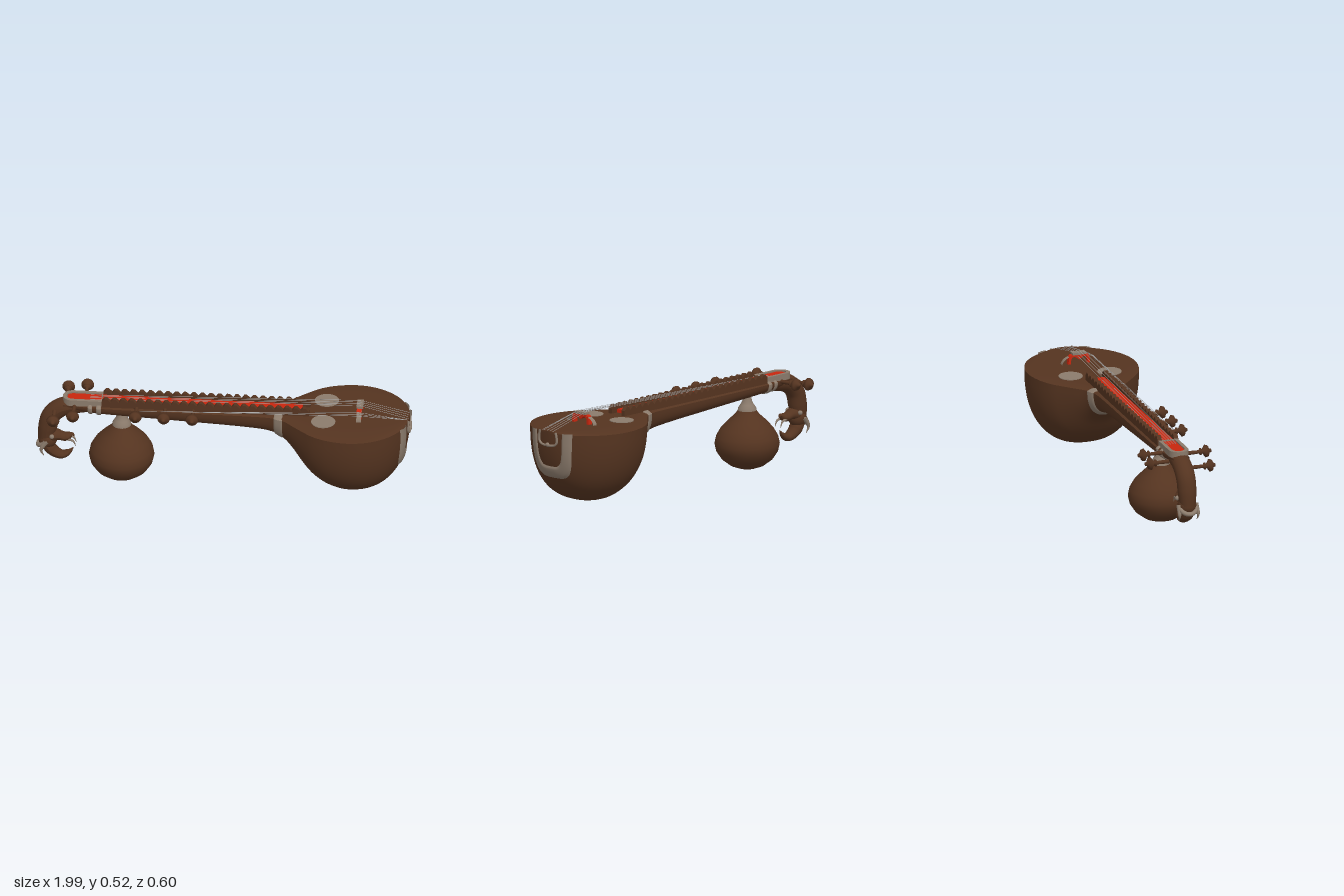
import * as THREE from 'three';

const paint = (name, color) => {
  const m = new THREE.MeshStandardMaterial({ color, side: THREE.DoubleSide });
  m.name = name;
  return m;
};
const V = (x, y, z = 0) => new THREE.Vector3(x, y, z);

// Smooth surface from a rule fn(u, v) -> [x, y, z]
function grid(nu, nv, fn) {
  const pos = [], idx = [];
  for (let i = 0; i <= nu; i++) for (let j = 0; j <= nv; j++) pos.push(...fn(i / nu, j / nv));
  for (let i = 0; i < nu; i++) for (let j = 0; j < nv; j++) {
    const a = i * (nv + 1) + j, b = a + nv + 1;
    idx.push(a, b, a + 1, b, b + 1, a + 1);
  }
  const g = new THREE.BufferGeometry();
  g.setAttribute('position', new THREE.Float32BufferAttribute(pos, 3));
  g.setIndex(idx);
  g.computeVertexNormals();
  return g;
}

// Neck and bowl outline: x, half width, underside height
const RIM = 0.447, P = 2.4, START = -0.84, MID = 0.68, LEN = 0.308;
const outline = [
  [-0.84, 0.045, 0.41], [-0.66, 0.065, 0.396], [-0.2, 0.07, 0.372], [0.17, 0.072, 0.35],
  [0.27, 0.08, 0.333], [0.33, 0.105, 0.3], [0.38, 0.15, 0.25], [0.435, 0.2, 0.176],
  [0.49, 0.245, 0.118], [0.57, 0.282, 0.068], [0.68, 0.3, 0.043],
];
function hermite(x, k) {
  const n = outline.length - 1;
  let i = 0;
  while (i < n - 1 && x > outline[i + 1][0]) i++;
  const slope = (j) => (j === 0 || j === n ? 0
    : (outline[j + 1][k] - outline[j - 1][k]) / (outline[j + 1][0] - outline[j - 1][0]));
  const [a, b] = [outline[i], outline[i + 1]], h = b[0] - a[0], t = (x - a[0]) / h;
  return a[k] * (1 + 2 * t) * (1 - t) ** 2 + slope(i) * h * t * (1 - t) ** 2
    + b[k] * t * t * (3 - 2 * t) + slope(i + 1) * h * t * t * (t - 1);
}
function size(x) {
  if (x <= MID) return [hermite(x, 1), RIM - hermite(x, 2)];
  const u = Math.min(1, (x - MID) / LEN);
  return [0.3 * Math.sqrt(1 - u * u), 0.404 * (1 - u ** P) ** (1 / P)];
}
const pow = (c, e) => Math.sign(c) * Math.abs(c) ** e;
function shell(x, v, grow = 0) {
  const [w, d] = size(x), a = Math.PI * v;
  return [x, RIM - (d + grow) * pow(Math.max(0, Math.sin(a)), 2 / P), (w + grow) * pow(Math.cos(a), 2 / P)];
}
const lid = (x, v, grow = 0) => {
  const s = 2 * v - 1;
  return [x, RIM + (0.01 + grow) * (1 - s ** 6), (size(x)[0] + grow) * s];
};
const station = (u) => (u < 0.7 ? START + (MID - START) * (u / 0.7)
  : MID + LEN * Math.sin((u - 0.7) / 0.3 * Math.PI / 2));
// x of the bowl's end surface at a given height and z
function bowlEnd(y, z) {
  let lo = MID, hi = MID + LEN;
  for (let i = 0; i < 24; i++) {
    const x = (lo + hi) / 2, [w, d] = size(x);
    if ((Math.abs(z) / w) ** P + (Math.max(0, RIM - y) / d) ** P < 1) lo = x; else hi = x;
  }
  return lo;
}

// Tube whose radius follows a list; zs squashes it sideways
function taperTube(points, radii, zs = 1) {
  const curve = new THREE.CatmullRomCurve3(points), n = 40, m = 16;
  const g = new THREE.TubeGeometry(curve, n, 1, m), p = g.attributes.position;
  for (let i = 0; i <= n; i++) {
    const c = curve.getPointAt(i / n), t = (i / n) * (radii.length - 1), k = Math.min(radii.length - 2, Math.floor(t));
    const r = THREE.MathUtils.lerp(radii[k], radii[k + 1], t - k);
    for (let j = 0; j <= m; j++) {
      const q = i * (m + 1) + j, v = new THREE.Vector3().fromBufferAttribute(p, q).sub(c).multiplyScalar(r);
      p.setXYZ(q, c.x + v.x, c.y + v.y, c.z + v.z * zs);
    }
  }
  g.computeVertexNormals();
  return g;
}
const lathe = (pts, n = 32) => new THREE.LatheGeometry(pts.map(([r, y]) => new THREE.Vector2(r, y)), n);

export function createModel() {
  const wood = paint('brown wood', 0x553420), bone = paint('grey inlay', 0x8b7b6c);
  const red = paint('red lacquer', 0xc8260e), wire = paint('string metal', 0xa5a5a5);
  const model = new THREE.Group();
  const add = (name, geo, mat, x = 0, y = 0, z = 0) => {
    const m = new THREE.Mesh(geo, mat);
    m.name = name;
    m.position.set(x, y, z);
    model.add(m);
    return m;
  };
  const box = (name, mat, sx, sy, sz, x, y, z) => add(name, new THREE.BoxGeometry(sx, sy, sz), mat, x, y, z);

  // Neck and bowl
  add('body', grid(110, 40, (u, v) => shell(station(u), v)), wood);
  add('soundboard', grid(110, 16, (u, v) => lid(station(u), v)), wood);

  // Inlaid bands around the neck
  for (const [a, b] of [[-0.71, -0.685], [-0.665, -0.638], [0.275, 0.322]]) {
    const prof = (u) => 0.007 * Math.sin(Math.PI * Math.min(1, Math.max(0, u))) ** 0.3;
    add('band', grid(8, 32, (u, v) => shell(a + (b - a) * u, v, prof(u))), bone);
    add('bandTop', grid(8, 8, (u, v) => lid(a + (b - a) * u, v, prof(u))), bone);
  }

  // Sound rosettes
  for (const z of [-0.112, 0.106]) {
    add('rosette', new THREE.CylinderGeometry(0.064, 0.064, 0.006, 32), bone, 0.54, 0.457, z);
  }

  // Scalloped fret rails with the red channel between them
  const rail = new THREE.Shape(), teeth = 24, x0 = -0.635, x1 = 0.46, step = (x1 - x0) / teeth;
  rail.moveTo(x0, 0.44);
  rail.lineTo(x0, 0.485);
  for (let i = 0; i < teeth; i++) {
    const x = x0 + i * step;
    rail.lineTo(x + step * 0.3, 0.503);
    rail.lineTo(x + step * 0.6, 0.503);
    rail.lineTo(x + step, 0.485);
  }
  rail.lineTo(x1, 0.44);
  for (const z of [-0.058, 0.034]) {
    add('fretRail', new THREE.ExtrudeGeometry(rail, { depth: 0.024, bevelEnabled: false }), wood, 0, 0, z);
  }
  box('redChannel', red, 1.24, 0.03, 0.068, -0.2, 0.461, 0);

  // Peg box rim
  const ring = (hw, a, b, T) => {
    const s = new T();
    s.moveTo(b, -hw);
    s.lineTo(b, hw);
    s.lineTo(a + hw, hw);
    s.absarc(a + hw, 0, hw, Math.PI / 2, Math.PI * 1.5, false);
    s.lineTo(b, -hw);
    return s;
  };
  const rim = ring(0.053, -0.845, -0.635, THREE.Shape);
  rim.holes.push(ring(0.034, -0.825, -0.64, THREE.Path));
  add('pegBoxRim', new THREE.ExtrudeGeometry(rim, { depth: 0.035, bevelEnabled: false, curveSegments: 12 }), bone, 0, 0.483, 0)
    .rotation.x = Math.PI / 2;

  // Curved scroll and animal head
  add('scroll', taperTube([V(-0.68, 0.43), V(-0.77, 0.428), V(-0.85, 0.41), V(-0.905, 0.36), V(-0.925, 0.29), V(-0.935, 0.21)],
    [0.035, 0.045, 0.05, 0.051, 0.05, 0.042]), wood);
  const skull = add('skull', new THREE.SphereGeometry(0.05, 24, 16), wood, -0.925, 0.215, 0);
  skull.scale.set(1, 1.05, 1);
  add('upperJaw', taperTube([V(-0.94, 0.235), V(-0.88, 0.24), V(-0.83, 0.23), V(-0.795, 0.245), V(-0.785, 0.235)],
    [0.03, 0.035, 0.024, 0.022, 0.002], 1.3), wood);
  add('lowerJaw', taperTube([V(-0.94, 0.2), V(-0.9, 0.145), V(-0.85, 0.12), V(-0.81, 0.14), V(-0.79, 0.165)],
    [0.03, 0.032, 0.026, 0.018, 0.002], 1.3), wood);
  for (const s of [-1, 1]) {
    add('fang', taperTube([V(-0.83, 0.225, s * 0.018), V(-0.79, 0.215, s * 0.02), V(-0.775, 0.185, s * 0.02)],
      [0.008, 0.006, 0.001]), bone);
    add('eye', new THREE.SphereGeometry(0.013, 12, 8), bone, -0.9, 0.25, s * 0.045);
    add('horn', taperTube([V(-0.93, 0.22, s * 0.045), V(-0.955, 0.17, s * 0.052), V(-0.94, 0.135, s * 0.05)],
      [0.016, 0.01, 0.001]), bone);
  }
  const collar = add('headCollar', new THREE.TorusGeometry(0.043, 0.012, 10, 28), bone, -0.942, 0.205, 0);
  collar.rotation.set(Math.PI / 2, 0.65, 0);

  // Hanging gourd and its collar
  add('gourd', lathe([[0, 0.003], [0.045, 0.008], [0.09, 0.024], [0.135, 0.058], [0.163, 0.1], [0.172, 0.14],
    [0.164, 0.18], [0.14, 0.222], [0.1, 0.265], [0.064, 0.298], [0.045, 0.325]], 48), wood, -0.535, 0, -0.005);
  add('gourdCollar', lathe([[0.05, 0.315], [0.048, 0.332], [0.036, 0.35], [0.026, 0.368], [0.02, 0.4]]), bone, -0.535, 0, -0.005);

  // Tuning pegs: x, y, side, start z
  const peg = [[0.011, 0], [0.009, 0.065], [0.019, 0.071], [0.019, 0.076], [0.01, 0.083], [0.034, 0.1],
    [0.03, 0.113], [0.013, 0.12], [0.009, 0.132], [0, 0.136]];
  for (const [x, y, s, z] of [[-0.885, 0.405, 1, 0.04], [-0.78, 0.448, 1, 0.055], [-0.83, 0.435, -1, 0.068],
    [-0.73, 0.45, -1, 0.07], [-0.45, 0.455, 1, 0.043], [-0.3, 0.455, 1, 0.043], [-0.15, 0.455, 1, 0.043]]) {
    add('tuningPeg', lathe(peg, 20), wood, x, y, s * z).rotation.x = s * Math.PI / 2;
  }

  // Bridge: red arch, metal-coloured top plate, side arc
  const arch = new THREE.Shape();
  arch.moveTo(-0.062, 0.452);
  arch.lineTo(-0.057, 0.492);
  arch.quadraticCurveTo(-0.053, 0.507, -0.035, 0.507);
  arch.lineTo(0.035, 0.507);
  arch.quadraticCurveTo(0.053, 0.507, 0.057, 0.492);
  arch.lineTo(0.062, 0.452);
  arch.lineTo(0.045, 0.452);
  arch.quadraticCurveTo(0.052, 0.497, 0.025, 0.497);
  arch.lineTo(0, 0.48);
  arch.lineTo(-0.025, 0.497);
  arch.quadraticCurveTo(-0.052, 0.497, -0.045, 0.452);
  add('bridgeArch', new THREE.ExtrudeGeometry(arch, { depth: 0.026, bevelEnabled: false }), red, 0.712, 0, 0)
    .rotation.y = Math.PI / 2;
  box('bridgePlate', bone, 0.034, 0.012, 0.076, 0.726, 0.513, 0);
  add('sideBridge', grid(2, 24, (u, v) => {
    const a = Math.PI * v;
    return [0.713 + 0.026 * u, 0.455 + 0.051 * Math.sin(a), 0.095 * Math.cos(a)];
  }), bone);

  // Inlaid U and string holder on the bowl's end
  add('tailInlay', grid(64, 8, (u, v) => {
    const a = Math.PI * u, s = pow(Math.max(0, Math.sin(a)), 0.45), c = pow(Math.cos(a), 0.45);
    const y = RIM + 0.006 - (0.19 + 0.066 * v) * s, z = (0.09 + 0.054 * v) * c * (1 - 0.1 * s);
    return [bowlEnd(y, z) + 0.009 * Math.sin(Math.PI * v) ** 0.3, y, z];
  }), bone);
  const holder = [[0.455, 0.056], [0.43, 0.062], [0.4, 0.062], [0.386, 0.05], [0.38, 0.025], [0.38, 0]];
  const half = holder.map(([y, z]) => V(bowlEnd(y, z) + 0.005, y, z));
  const other = half.slice(0, -1).reverse().map((p) => V(p.x, p.y, -p.z));
  add('stringHolder', new THREE.TubeGeometry(new THREE.CatmullRomCurve3([...half, ...other]), 60, 0.0065, 8), bone);
  add('holderKnob', new THREE.SphereGeometry(0.012, 12, 8), bone, bowlEnd(0.383, 0) + 0.002, 0.383, 0);

  // Strings
  const string = (...pts) => {
    for (let i = 1; i < pts.length; i++) {
      const d = pts[i].clone().sub(pts[i - 1]), mid = pts[i].clone().add(pts[i - 1]).multiplyScalar(0.5);
      add('string', new THREE.CylinderGeometry(0.0011, 0.0011, d.length(), 6), wire, mid.x, mid.y, mid.z)
        .quaternion.setFromUnitVectors(V(0, 1, 0), d.normalize());
    }
  };
  for (const z of [-0.027, -0.009, 0.009, 0.027]) {
    string(V(-0.7, 0.478, z * 0.8), V(0.726, 0.52, z), V(0.985, 0.456, z * 1.2));
  }
  [-0.45, -0.3, -0.15].forEach((x, i) => {
    string(V(x, 0.466, 0.1 - i * 0.008), V(0.726, 0.488 + i * 0.006, 0.082 - i * 0.008), V(0.982, 0.456, 0.045));
  });
  return model;
}
